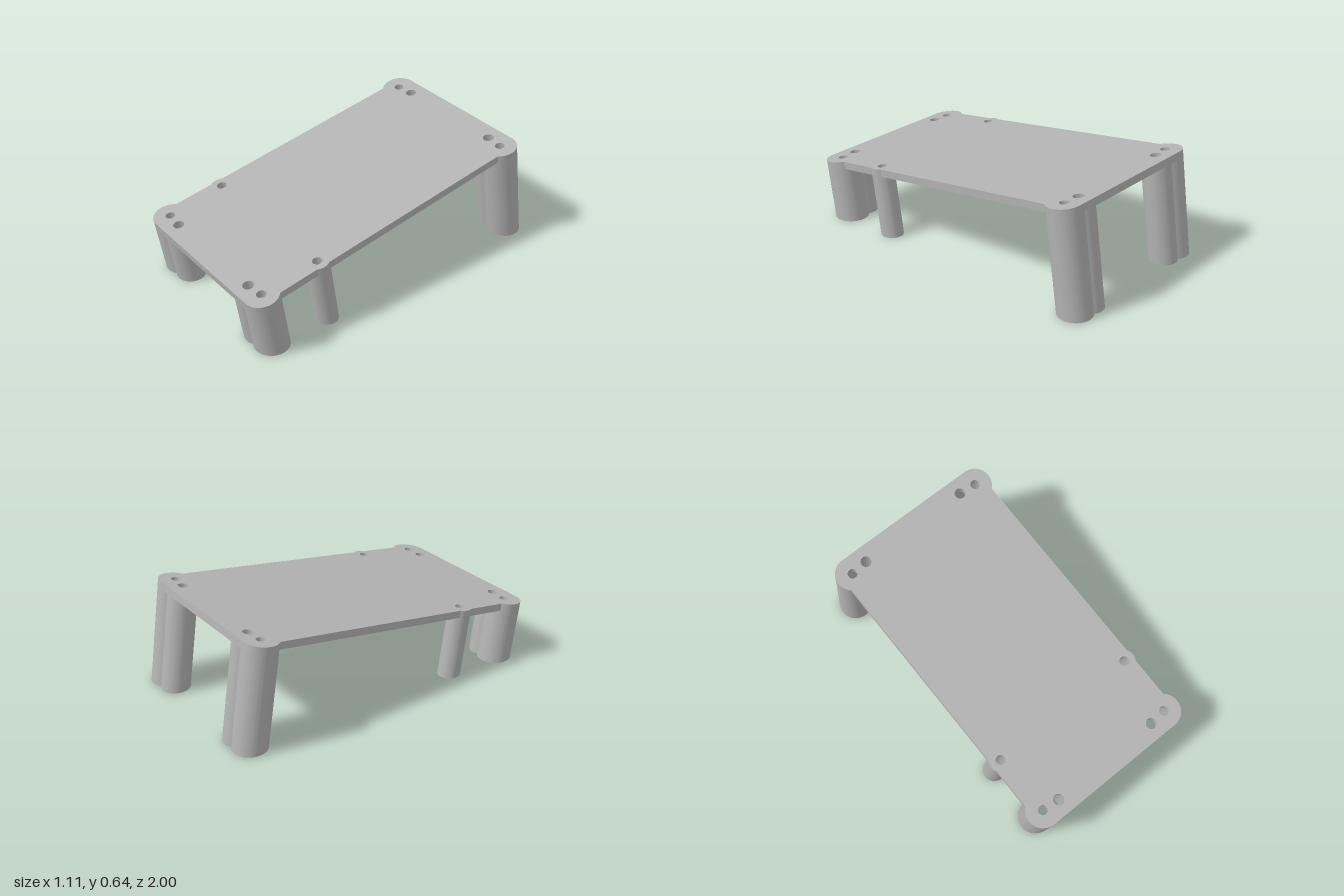
import * as THREE from 'three';
import { toCreasedNormals } from 'three/addons/utils/BufferGeometryUtils.js';

const TILT = Math.atan(0.1466);   // slope of the top, front edge lower
const HEIGHT = 0.5016;            // height of the top surface at the centre
const T = 0.045;                  // plate thickness
const FRONT = 0.91, BACK = -0.82; // corner centres along the plate
const CX = 0.453, CR = 0.1;       // corner centre and radius
const IX = 0.347, IR = 0.085;     // inner lobe of each corner leg
const PX = 0.462, PZ = 0.546, PR = 0.067; // small post
const EDGE = 0.516;               // half width of the plate

// Closed outline around two circles: fused lobes, or a taut slot
function twoCircles(shape, a, R, b, r, taut) {
  const dx = b[0] - a[0], dy = b[1] - a[1];
  const d = Math.hypot(dx, dy), phi = Math.atan2(dy, dx);
  const al = taut ? Math.acos((R - r) / d) : Math.acos((d * d + R * R - r * r) / (2 * d * R));
  const be = taut ? Math.PI - al : Math.acos((d * d + r * r - R * R) / (2 * d * r));
  shape.absarc(a[0], a[1], R, phi + al, phi - al + 2 * Math.PI, false);
  shape.absarc(b[0], b[1], r, phi - Math.PI + be, phi + Math.PI - be, false);
  return shape;
}

function circle(path, x, y, r) {
  return path.absarc(x, y, r, 0, Math.PI * 2, false);
}

// Upright extrusion (shape y = -z) with both ends set by rule
function upright(shape, top, bottomAt) {
  const g = new THREE.ExtrudeGeometry(shape, { depth: 1, bevelEnabled: false, curveSegments: 32 });
  g.rotateX(-Math.PI / 2);
  const p = g.attributes.position;
  for (let i = 0; i < p.count; i++) {
    p.setY(i, p.getY(i) > 0.5 ? top : bottomAt(p.getZ(i)));
  }
  return toCreasedNormals(g, 0.5);
}

// Depth below the plate at which a leg meets the ground
const ground = (z) => (z * Math.sin(TILT) - HEIGHT) / Math.cos(TILT);

export function createModel() {
  const model = new THREE.Group();
  model.name = 'slopedStand';
  const stand = new THREE.Group();
  stand.name = 'tiltedAssembly';
  stand.position.y = HEIGHT;
  stand.rotation.x = TILT;
  model.add(stand);
  const grey = new THREE.MeshStandardMaterial({ color: 0xb3b3b3 });
  grey.name = 'grey';

  const add = (name, geometry) => {
    const mesh = new THREE.Mesh(geometry, grey);
    mesh.name = name;
    stand.add(mesh);
  };

  // Plate outline, counter-clockwise, with round ears at corners and posts
  const plate = new THREE.Shape();
  const ca = Math.acos((EDGE - CX) / CR), pa = Math.acos((EDGE - PX) / PR);
  const H = Math.PI / 2, P = Math.PI;
  plate.absarc(CX, -FRONT, CR, -H, ca, false);
  plate.absarc(PX, -PZ, PR, -pa, pa, false);
  plate.absarc(CX, -BACK, CR, -ca, H, false);
  plate.absarc(-CX, -BACK, CR, H, P + ca, false);
  plate.absarc(-PX, -PZ, PR, P - pa, P + pa, false);
  plate.absarc(-CX, -FRONT, CR, P - ca, P + H, false);

  for (const s of [1, -1]) {
    const side = s > 0 ? 'Left' : 'Right';
    for (const [name, z, inner] of [['front', FRONT, FRONT + 0.01], ['back', BACK, BACK - 0.01]]) {
      // Screw holes in the plate
      plate.holes.push(circle(new THREE.Path(), s * CX, -z, 0.028));
      plate.holes.push(circle(new THREE.Path(), s * IX, -inner, 0.032));
      // Hollow corner leg of two fused lobes
      const a = [s * CX, -z], b = [s * IX, -inner];
      const leg = twoCircles(new THREE.Shape(), a, CR, b, IR, false);
      leg.holes.push(twoCircles(new THREE.Path(), a, 0.058, b, 0.048, true));
      add(name + side + 'Leg', upright(leg, -T, ground));
    }
    // Small hollow post
    plate.holes.push(circle(new THREE.Path(), s * PX, -PZ, 0.028));
    const post = circle(new THREE.Shape(), s * PX, -PZ, PR);
    post.holes.push(circle(new THREE.Path(), s * PX, -PZ, 0.04));
    add('small' + side + 'Post', upright(post, -T, ground));
  }
  add('plate', upright(plate, 0, () => -T));
  return model;
}
